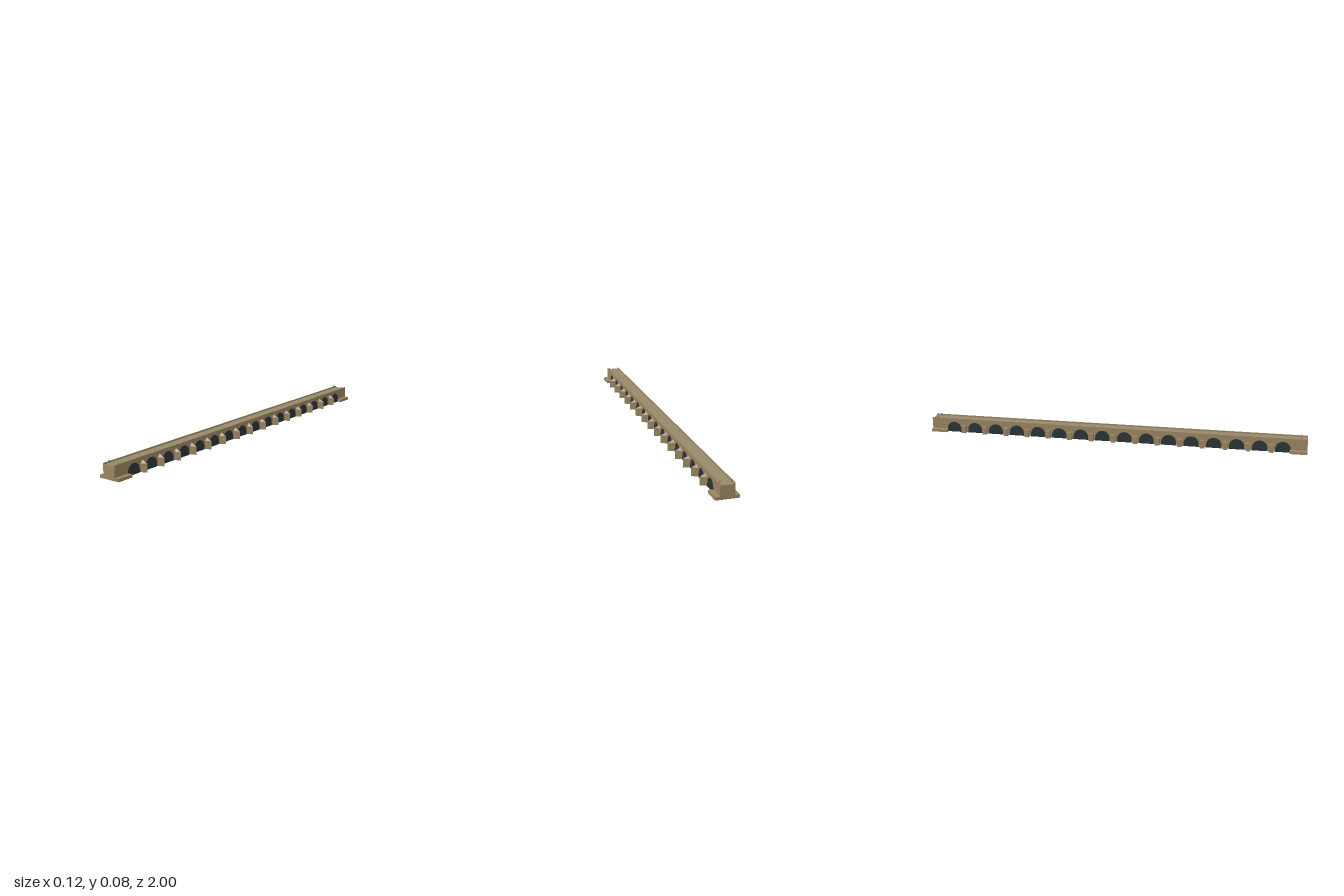
import * as THREE from 'three';
import { ConvexGeometry } from 'three/addons/geometries/ConvexGeometry.js';

const LEFT = -0.04, RIGHT = 0.03, MID = -0.005; // side faces and axis of the bridge
const PITCH = 0.117, ARCHES = 16, HALF = 0.039, SPRING = 0.016, DECK_Y = 0.066;

const material = (color) => new THREE.MeshStandardMaterial({
  color, flatShading: true, side: THREE.DoubleSide,
});
const stone = material(0x9a8562);
const paving = material(0x958a6c);
const shadow = material(0x2b3436);

function add(parent, name, geometry, mat) {
  const mesh = new THREE.Mesh(geometry, mat);
  mesh.name = name;
  parent.add(mesh);
  return mesh;
}

// Box given by its two opposite corners
function box(parent, name, [x0, y0, z0], [x1, y1, z1], mat = stone) {
  const mesh = add(parent, name, new THREE.BoxGeometry(x1 - x0, y1 - y0, z1 - z0), mat);
  mesh.position.set((x0 + x1) / 2, (y0 + y1) / 2, (z0 + z1) / 2);
  return mesh;
}

const archZ = (i) => (i - (ARCHES - 1) / 2) * PITCH;

// Long wall outline (z, y) with an arch notched out for each span
function wallGeometry(thickness) {
  const s = new THREE.Shape();
  s.moveTo(-1, 0);
  for (let i = 0; i < ARCHES; i++) {
    const z = archZ(i);
    s.lineTo(z - HALF, 0);
    s.lineTo(z - HALF, SPRING);
    s.absarc(z, SPRING, HALF, Math.PI, 0, true);
    s.lineTo(z + HALF, 0);
  }
  s.lineTo(1, 0);
  s.lineTo(1, DECK_Y);
  s.lineTo(-1, DECK_Y);
  s.closePath();
  const g = new THREE.ExtrudeGeometry(s, { depth: thickness, bevelEnabled: false, curveSegments: 16 });
  return g.rotateY(-Math.PI / 2).translate(thickness, 0, 0);
}

// Dark arch infill
function archGeometry(thickness) {
  const s = new THREE.Shape();
  s.moveTo(-HALF, 0);
  s.lineTo(HALF, 0);
  s.lineTo(HALF, SPRING);
  s.absarc(0, SPRING, HALF, 0, Math.PI, false);
  s.closePath();
  const g = new THREE.ExtrudeGeometry(s, { depth: thickness, bevelEnabled: false, curveSegments: 16 });
  return g.rotateY(-Math.PI / 2).translate(thickness, 0, 0);
}

// Pointed cutwater with a sloping cap
function cutwaterGeometry() {
  const w = 0.013, eave = 0.042, tip = 0.06;
  const points = [[RIGHT, 0.057, 0]];
  for (const y of [0, eave]) points.push([RIGHT, y, -w], [RIGHT, y, w], [tip, y, 0]);
  return new ConvexGeometry(points.map((p) => new THREE.Vector3(...p)));
}

export function createModel() {
  const bridge = new THREE.Group();
  bridge.name = 'archedBridge';

  // Side walls, arch infills and parapets
  const wall = wallGeometry(0.006), infill = archGeometry(0.003);
  for (const side of [-1, 1]) {
    const group = new THREE.Group();
    group.name = side < 0 ? 'rightSide' : 'leftSide';
    bridge.add(group);
    add(group, 'archWall', wall, stone).position.x = side < 0 ? LEFT : RIGHT - 0.006;
    for (let i = 0; i < ARCHES; i++) {
      const x = side < 0 ? LEFT - 0.001 : RIGHT - 0.003;
      add(group, 'archInfill', infill, shadow).position.set(x, 0, archZ(i));
    }
    const outer = MID + side * 0.035, inner = MID + side * 0.03;
    box(group, 'parapet', [Math.min(outer, inner), DECK_Y, -1], [Math.max(outer, inner), 0.073, 1]);
    // Short posts near both ends, just inside the parapet
    for (const z of [-0.97, 0.97]) {
      const px = MID + side * 0.0275;
      box(group, 'endPost', [px - 0.0025, DECK_Y, z - 0.003], [px + 0.0025, 0.08, z + 0.003]);
    }
  }

  // Road deck between the walls
  box(bridge, 'deck', [LEFT + 0.005, 0.06, -1], [RIGHT - 0.005, DECK_Y + 0.0005, 1], paving);

  // Piers: square buttress on one side, cutwater on the other
  const cutwater = cutwaterGeometry();
  for (let i = 0; i < ARCHES - 1; i++) {
    const z = archZ(i) + PITCH / 2;
    box(bridge, 'buttress', [-0.06, 0, z - 0.012], [LEFT, 0.04, z + 0.012]);
    add(bridge, 'cutwater', cutwater, stone).position.z = z;
  }

  // Abutments: hollow-bottomed block with a plinth along each side
  for (const end of [-1, 1]) {
    const abutment = new THREE.Group();
    abutment.name = end < 0 ? 'backAbutment' : 'frontAbutment';
    bridge.add(abutment);
    const span = (a, b) => (end < 0 ? [-b, -a] : [a, b]);
    const [z0, z1] = span(0.92, 1);
    box(abutment, 'block', [LEFT + 0.001, 0.012, z0], [RIGHT - 0.001, DECK_Y, z1]);
    for (const [a, b] of [[0.918, 0.928], [0.99, 1]]) {
      const [e0, e1] = span(a, b);
      box(abutment, 'footing', [LEFT, 0, e0], [RIGHT, 0.015, e1]);
    }
    const [p0, p1] = span(0.912, 1);
    box(abutment, 'plinth', [-0.062, 0, p0], [LEFT, 0.015, p1]);
    box(abutment, 'plinth', [RIGHT, 0, p0], [0.053, 0.015, p1]);
  }
  return bridge;
}
